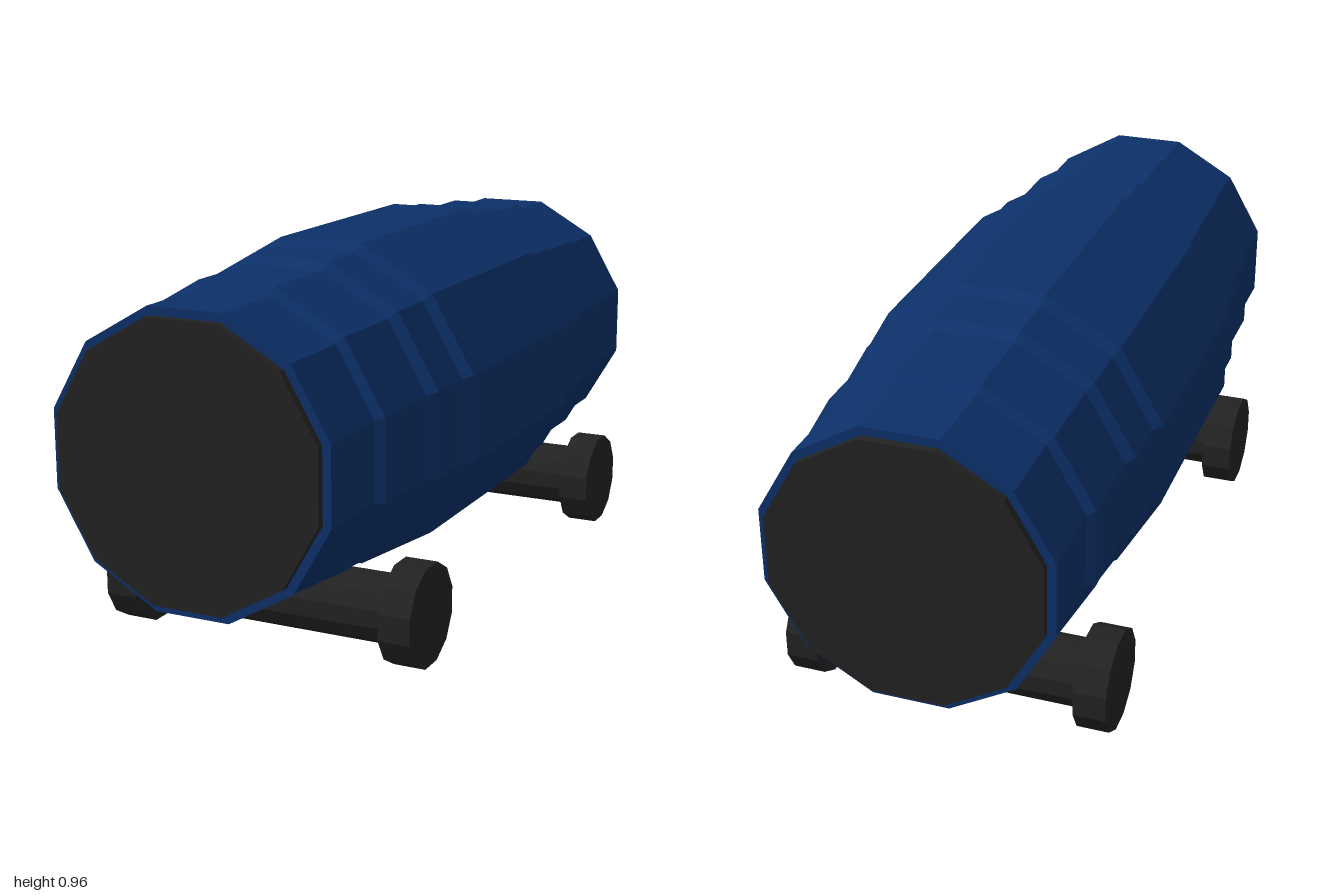
import * as THREE from 'three';

const SIDES = 12;
const HALF_STEP = Math.PI / SIDES;
const CENTRE_Y = 0.545;
// Corner radius of a 12-sided ring from its flat-to-centre distance
const corner = (flat) => flat / Math.cos(HALF_STEP);

export function createModel() {
  const blue = new THREE.MeshStandardMaterial({ color: 0x0c3069, flatShading: true });
  blue.name = 'navy blue';
  const black = new THREE.MeshStandardMaterial({ color: 0x222222, flatShading: true });
  black.name = 'charcoal';

  const model = new THREE.Group();
  model.name = 'barrelOnAxles';

  function add(parent, name, geometry, material, x = 0, y = 0, z = 0) {
    const mesh = new THREE.Mesh(geometry, material);
    mesh.name = name;
    mesh.position.set(x, y, z);
    parent.add(mesh);
    return mesh;
  }

  // Twelve-sided prism with flats facing the main directions
  const prism = (flat, length) =>
    new THREE.CylinderGeometry(corner(flat), corner(flat), length, SIDES, 1, false, HALF_STEP);

  // Stepped body: half profile [flat distance, distance from middle], mirrored
  const half = [
    [0.415, 0.335], [0.395, 0.36], [0.395, 0.502], [0.375, 0.527],
    [0.375, 0.752], [0.355, 0.768], [0.355, 0.98], [0, 0.98],
  ];
  const profile = [
    ...half.map(([r, d]) => new THREE.Vector2(corner(r), -d)).reverse(),
    ...half.map(([r, d]) => new THREE.Vector2(corner(r), d)),
  ];
  const body = new THREE.LatheGeometry(profile, SIDES, HALF_STEP).rotateX(Math.PI / 2);
  add(model, 'body', body, blue, 0, CENTRE_Y, 0);

  // End plates
  for (const side of [1, -1]) {
    add(model, side > 0 ? 'frontPlate' : 'backPlate',
      prism(0.334, 0.02).rotateX(Math.PI / 2), black, 0, CENTRE_Y, side * 0.99);
  }

  // Axles with a wheel at each end
  for (const [name, z] of [['front', 0.583], ['back', -0.667]]) {
    const axle = new THREE.Group();
    axle.name = name + 'WheelSet';
    axle.position.set(0, 0.125, z);
    add(axle, name + 'Axle', prism(0.083, 0.68).rotateZ(Math.PI / 2), black);
    for (const side of [1, -1]) {
      add(axle, name + (side > 0 ? 'LeftWheel' : 'RightWheel'),
        prism(0.125, 0.082).rotateZ(Math.PI / 2), black, side * 0.375);
    }
    model.add(axle);
  }
  return model;
}
